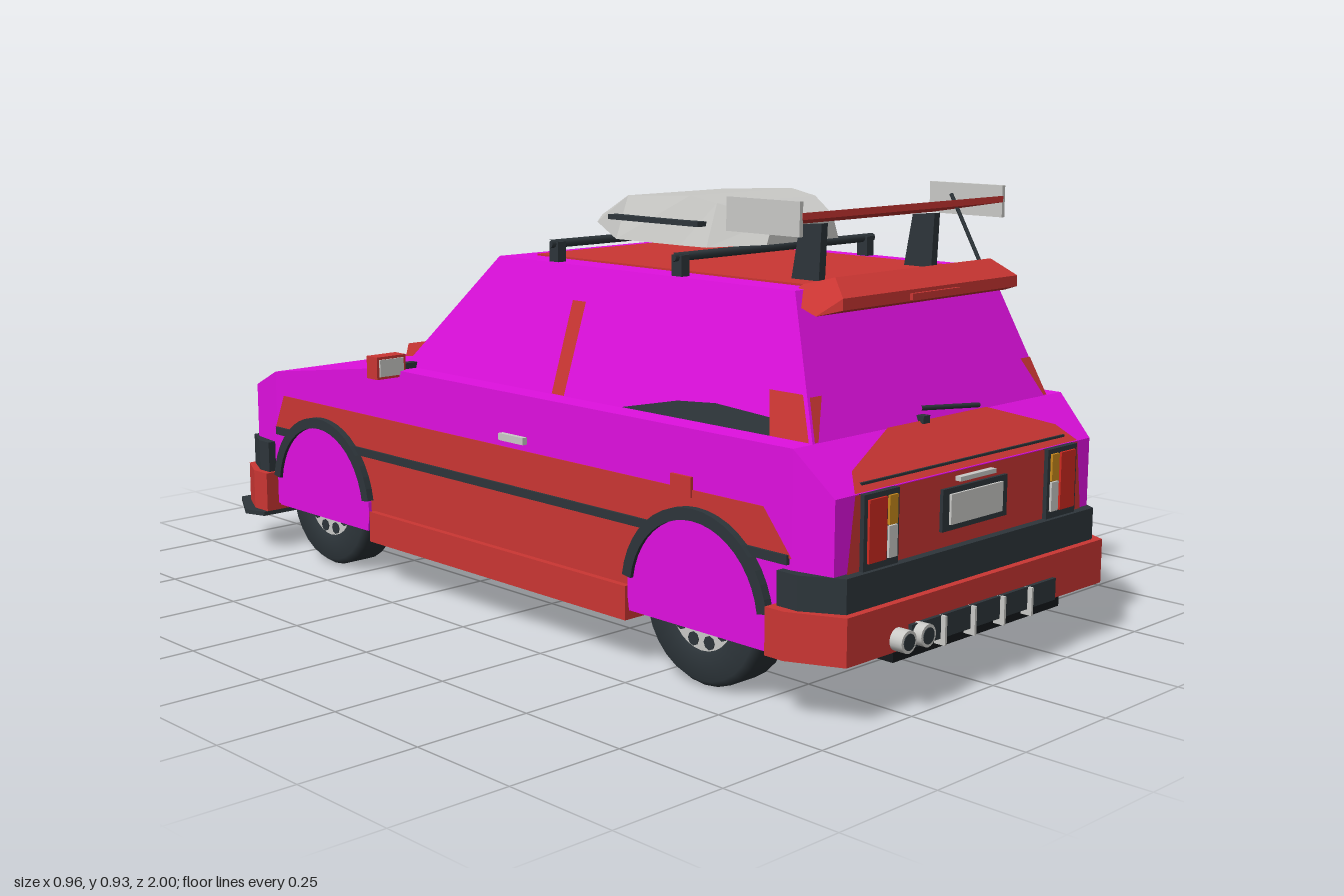
import * as THREE from 'three';

const mat = (name, color) => Object.assign(new THREE.MeshStandardMaterial({ color }), { name });
const M = {
  paint: mat('magenta paint', 0xe010e0), red: mat('red trim', 0xcb3633), dark: mat('dark plastic', 0x2d353a),
  black: mat('black underside', 0x14181b), grey: mat('light grey', 0xcacac7), amber: mat('amber lens', 0xc98a1c),
  lens: mat('red lens', 0xd02a20), steel: mat('steel', 0x8f9496),
};

export function createModel() {
  const car = new THREE.Group();
  car.name = 'hatchback';
  const add = (name, m, geo, x = 0, y = 0, z = 0) => {
    const mesh = new THREE.Mesh(geo, m);
    mesh.name = name;
    mesh.position.set(x, y, z);
    car.add(mesh);
    return mesh;
  };
  // box from minimum and maximum corners
  const box = (name, m, x0, x1, y0, y1, z0, z1) => add(name, m,
    new THREE.BoxGeometry(x1 - x0, y1 - y0, z1 - z0), (x0 + x1) / 2, (y0 + y1) / 2, (z0 + z1) / 2);
  const both = fn => [1, -1].forEach(fn);
  const boxes = (name, m, x0, x1, ...r) => both(s => box(name, m, Math.min(s * x0, s * x1), Math.max(s * x0, s * x1), ...r));
  const shape = pts => new THREE.Shape(pts.map(p => new THREE.Vector2(...p)));
  const extrude = (s, depth) => new THREE.ExtrudeGeometry(s, { depth, bevelEnabled: false, curveSegments: 10 });
  // mirrored plan outline [x, z] raised from y0 to y1
  const slab = (name, m, half, y0, y1) => {
    const plan = [...half, ...half.map(([x, z]) => [-x, z]).reverse()];
    return add(name, m, extrude(shape(plan.map(([x, z]) => [x, -z])), y1 - y0).rotateX(-Math.PI / 2), 0, y0, 0);
  };
  // side plates, shape drawn in (-z, y), on both flanks
  const flank = (name, m, s, x, t) => both(k =>
    add(name, m, extrude(s, t).rotateY(Math.PI / 2), k > 0 ? x : -x - t, 0, 0));
  const side = (name, m, pts, x, t) => flank(name, m, shape(pts.map(([z, y]) => [-z, y])), x, t);
  // solid through sections running from +z to -z, each counter-clockwise seen from +z
  const loft = (name, m, secs) => {
    const v = [], n = secs[0].length;
    const tri = (...p) => p.forEach(q => v.push(...q));
    for (let i = 0; i + 1 < secs.length; i++) for (let j = 0; j < n; j++) {
      const k = (j + 1) % n, a = secs[i], b = secs[i + 1];
      tri(a[j], b[j], b[k]);
      tri(a[j], b[k], a[k]);
    }
    const a = secs[0], b = secs[secs.length - 1];
    for (let j = 1; j + 1 < n; j++) { tri(a[0], a[j], a[j + 1]); tri(b[0], b[j + 1], b[j]); }
    const g = new THREE.BufferGeometry();
    g.setAttribute('position', new THREE.Float32BufferAttribute(v, 3));
    g.computeVertexNormals();
    return add(name, m, g);
  };
  // thin convex panel laid just outside a face
  const panel = (name, m, pts, lift = 0.004) => {
    let p = pts.map(q => new THREE.Vector3(...q));
    const normal = () => p[1].clone().sub(p[0]).cross(p[2].clone().sub(p[0])).normalize();
    if (normal().dot(p[0].clone().sub(new THREE.Vector3(0, 0.3, 0))) < 0) p.reverse();
    const n = normal();
    p.forEach(q => q.addScaledVector(n, lift));
    const idx = [];
    for (let i = 1; i + 1 < p.length; i++) idx.push(0, i, i + 1);
    const g = new THREE.BufferGeometry().setFromPoints(p);
    g.setIndex(idx);
    g.computeVertexNormals();
    return add(name, m, g);
  };
  const rod = (name, m, a, b, r) => {
    const p = new THREE.Vector3(...a), q = new THREE.Vector3(...b);
    return add(name, m, new THREE.TubeGeometry(new THREE.LineCurve3(p, q), 1, r, 8));
  };
  const disc = (name, m, r, t, x, y, z) => add(name, m, new THREE.CylinderGeometry(r, r, t, 20).rotateX(Math.PI / 2), x, y, z);

  // lower body and cabin
  const rect = (z, w0, w1, y0, y1) => [[-w0, y0, z], [w0, y0, z], [w1, y1, z], [-w1, y1, z]];
  loft('body', M.paint, [[0.935, 0.4, 0.42], [0.85, 0.418, 0.502], [-0.37, 0.418, 0.502], [-0.815, 0.418, 0.44], [-0.918, 0.405, 0.395]]
    .map(([z, w, y]) => rect(z, w, w, 0.115, y)));
  const cabX = y => 0.365 - (y - 0.5) * 0.244, cabRear = y => 0.85 - (y - 0.5) * 0.395, cabFront = y => -0.37 + (y - 0.5) * 0.996;
  const cab = f => [[-0.365, 0.5, f(0.5)], [0.365, 0.5, f(0.5)], [0.3, 0.766, f(0.766)], [-0.3, 0.766, f(0.766)]];
  loft('cabin', M.paint, [cab(cabRear), cab(cabFront)]);
  box('floor', M.black, -0.36, 0.36, 0.1, 0.114, -0.9, 0.92);

  // flanks: red band, sill, rubbing strip, handles
  side('redBand', M.red, [[0.78, 0.385], [0.85, 0.3], [-0.82, 0.3], [-0.78, 0.385]], 0.416, 0.004);
  side('redDoor', M.red, [[0.61, 0.3], [0.61, 0.118], [-0.61, 0.118], [-0.61, 0.3]], 0.416, 0.004);
  boxes('sill', M.red, 0.37, 0.434, 0.095, 0.165, -0.42, 0.43);
  boxes('rubbingStrip', M.dark, 0.415, 0.426, 0.288, 0.306, -0.81, 0.845);
  boxes('doorHandle', M.grey, 0.415, 0.43, 0.4, 0.415, 0.04, 0.118);
  box('fuelFlap', M.red, -0.424, -0.415, 0.37, 0.41, 0.545, 0.6);

  // wheels, filled arches and arch trims
  const tyre = [[0.08, 0], [0.14, 0], [0.155, 0.018], [0.155, 0.085], [0.142, 0.102], [0.09, 0.102], [0.08, 0.09]]
    .map(p => new THREE.Vector2(...p));
  for (const z of [0.615, -0.615]) {
    const fill = new THREE.Shape();
    fill.absarc(-z, 0.16, 0.185, -0.24, Math.PI + 0.24, false);
    flank('archPanel', M.paint, fill, 0.419, 0.009);
    const ring = new THREE.Shape();
    ring.absarc(-z, 0.16, 0.194, 0.15, Math.PI - 0.15, false);
    ring.absarc(-z, 0.16, 0.17, Math.PI - 0.15, 0.15, true);
    flank('archTrim', M.dark, ring, 0.412, 0.024);
    both(s => {
      const wheel = new THREE.Group();
      wheel.name = 'wheel';
      const part = (name, m, g) => {
        const mesh = new THREE.Mesh(g, m);
        mesh.name = name;
        wheel.add(mesh);
        return mesh;
      };
      part('tyre', M.dark, new THREE.LatheGeometry(tyre, 28));
      part('rim', M.grey, new THREE.CylinderGeometry(0.092, 0.092, 0.09, 24)).position.y = 0.05;
      for (let i = 0; i < 10; i++) {
        const a = (i + 0.5) * Math.PI / 5;
        part('rimSlot', M.dark, new THREE.CylinderGeometry(0.014, 0.014, 0.006, 8))
          .position.set(Math.cos(a) * 0.068, 0.094, Math.sin(a) * 0.068);
      }
      wheel.rotation.z = -s * Math.PI / 2;
      wheel.position.set(s * 0.312, 0.155, z);
      car.add(wheel);
    });
  }

  // cabin details: pillars, quarter vents, red rear corners, windscreen line
  both(s => {
    const on = pts => pts.map(([z, y]) => [s * cabX(y), y, z]);
    panel('doorPillar', M.red, on([[0.195, 0.695], [0.155, 0.695], [0.14, 0.503], [0.178, 0.503]]));
    panel('quarterVent', M.dark, on([[0.75, 0.503], [0.75, 0.535], [0.6, 0.543], [0.5, 0.535], [0.35, 0.503]]));
    panel('rearQuarter', M.red, on([[0.812, 0.585], [0.73, 0.585], [0.75, 0.503], [0.845, 0.503]]), 0.006);
    panel('rearCorner', M.red, [[0.343, 0.58], [0.31, 0.58], [0.352, 0.503], [0.362, 0.503]].map(([x, y]) => [s * x, y, cabRear(y)]));
    // mirrors
    box('mirrorArm', M.dark, s > 0 ? 0.36 : -0.42, s > 0 ? 0.42 : -0.36, 0.5, 0.515, -0.345, -0.325);
  });
  boxes('mirror', M.red, 0.4, 0.478, 0.488, 0.538, -0.355, -0.317);
  boxes('mirrorGlass', M.grey, 0.408, 0.472, 0.494, 0.532, -0.318, -0.313);
  panel('windscreenLine', M.red, [[-0.23, 0.745], [0.23, 0.745], [0.23, 0.735], [-0.23, 0.735]].map(([x, y]) => [x, y, cabFront(y)]));
  box('roofPanel', M.red, -0.235, 0.235, 0.764, 0.77, -0.055, 0.72);

  // roof bars and box
  for (const z of [0.065, 0.43]) {
    rod('roofBar', M.dark, [-0.305, 0.804, z], [0.305, 0.804, z], 0.009);
    boxes('barFoot', M.dark, 0.272, 0.294, 0.764, 0.808, z - 0.014, z + 0.014);
  }
  loft('roofBox', M.grey, [[0.5, 0.11, 0.09, 0.82, 0.87], [0.4, 0.18, 0.15, 0.812, 0.9], [0.33, 0.185, 0.155, 0.812, 0.912],
    [0.14, 0.185, 0.15, 0.812, 0.902], [0, 0.11, 0.095, 0.835, 0.85]].map(([z, ...r]) => rect(z, ...r)));
  boxes('boxStrip', M.dark, 0.165, 0.19, 0.853, 0.863, 0.12, 0.385);

  // tailgate lip, wing, struts and aerial
  loft('roofLip', M.red, [rect(0.835, 0.27, 0.27, 0.735, 0.757), rect(0.79, 0.293, 0.24, 0.722, 0.79), rect(0.72, 0.3, 0.25, 0.75, 0.772)]);
  box('lipCentre', M.red, -0.075, 0.075, 0.738, 0.75, 0.82, 0.842);
  loft('wing', M.red, [rect(0.768, 0.308, 0.308, 0.898, 0.911), rect(0.59, 0.308, 0.308, 0.868, 0.88)]);
  boxes('wingEndPlate', M.grey, 0.306, 0.315, 0.867, 0.932, 0.583, 0.767);
  both(s => side('wingStrut', M.dark, [[0.705, 0.88], [0.65, 0.875], [0.63, 0.766], [0.7, 0.766]], s > 0 ? 0.164 : 0.17, 0.012));
  rod('aerial', M.dark, [0.237, 0.775, 0.77], [0.237, 0.915, 0.69], 0.004);

  // bonnet: scoop, red patches, wipers
  const hood = z => 0.502 + (z + 0.37) * 0.1393;
  loft('bonnetScoop', M.red, [rect(-0.515, 0.127, 0.11, 0.47, 0.518), rect(-0.735, 0.09, 0.078, 0.44, 0.482)]);
  panel('scoopMouth', M.dark, [[-0.075, 0.455, -0.735], [0.075, 0.455, -0.735], [0.068, 0.476, -0.735], [-0.068, 0.476, -0.735]]);
  panel('bonnetPatch', M.red, [[-0.15, -0.71], [0.15, -0.71], [0.15, -0.615], [-0.15, -0.615]].map(([x, z]) => [x, hood(z), z]));
  panel('nosePatch', M.red, [[-0.31, 0.395, -0.918], [0.31, 0.395, -0.918], [0.19, 0.44, -0.815], [-0.19, 0.44, -0.815]]);
  rod('frontWiper', M.dark, [-0.2, 0.508, -0.405], [0.11, 0.512, -0.415], 0.006);
  rod('rearWiper', M.dark, [-0.05, 0.528, 0.847], [0.13, 0.512, 0.852], 0.005);
  box('wiperPivot', M.dark, -0.058, -0.038, 0.5, 0.515, 0.835, 0.862);

  // tail: red panel, lamps, number plate
  panel('tailPanel', M.red, [[-0.37, 0.27], [0.37, 0.27], [0.35, 0.42], [-0.35, 0.42]].map(([x, y]) => [x, y, 0.935]));
  panel('tailUpper', M.red, [[-0.35, 0.42, 0.935], [0.35, 0.42, 0.935], [0.32, 0.452, 0.902], [0.155, 0.502, 0.85], [-0.155, 0.502, 0.85], [-0.32, 0.452, 0.902]]);
  box('tailSeam', M.dark, -0.32, 0.32, 0.43, 0.437, 0.915, 0.928);
  boxes('tailLampFrame', M.dark, 0.235, 0.335, 0.275, 0.42, 0.93, 0.948);
  boxes('tailLamp', M.lens, 0.275, 0.325, 0.292, 0.41, 0.945, 0.953);
  boxes('tailIndicator', M.amber, 0.244, 0.268, 0.355, 0.41, 0.945, 0.953);
  boxes('reverseLamp', M.grey, 0.244, 0.268, 0.293, 0.353, 0.945, 0.953);
  box('plateFrame', M.dark, -0.102, 0.102, 0.31, 0.392, 0.93, 0.946);
  box('rearPlate', M.grey, -0.082, 0.082, 0.322, 0.381, 0.943, 0.951);
  box('plateLamp', M.grey, -0.056, 0.056, 0.402, 0.411, 0.93, 0.952);

  // rear bumper, diffuser and exhausts
  slab('rearBumperTop', M.dark, [[0.37, 0.83], [0.435, 0.83], [0.435, 0.88], [0.39, 0.957]], 0.21, 0.278);
  slab('rearBumper', M.red, [[0.37, 0.82], [0.455, 0.82], [0.455, 0.865], [0.405, 0.972]], 0.12, 0.212);
  box('diffuser', M.dark, -0.23, 0.23, 0.12, 0.165, 0.96, 0.98);
  box('lowerDiffuser', M.black, -0.265, 0.265, 0.097, 0.121, 0.86, 0.965);
  for (const x of [-0.14, -0.048, 0.046, 0.137]) box('diffuserFin', M.grey, x - 0.003, x + 0.003, 0.108, 0.165, 0.965, 0.99);
  for (const x of [-0.263, -0.206]) {
    disc('exhaust', M.grey, 0.022, 0.06, x, 0.144, 0.97);
    disc('exhaustBore', M.dark, 0.016, 0.004, x, 0.144, 0.9995);
  }

  // nose: grille, headlamps, bumper, splitter
  box('grillePanel', M.dark, -0.35, 0.35, 0.26, 0.388, -0.926, -0.91);
  box('grilleFrame', M.grey, -0.175, 0.175, 0.28, 0.37, -0.932, -0.92);
  box('grilleBack', M.dark, -0.168, 0.168, 0.287, 0.363, -0.936, -0.925);
  for (let i = 0; i < 4; i++) box('grilleBar', M.steel, -0.168, 0.168, 0.298 + i * 0.016, 0.304 + i * 0.016, -0.941, -0.93);
  box('grilleBadge', M.grey, -0.02, 0.02, 0.315, 0.337, -0.944, -0.93);
  both(s => {
    disc('headlampRing', M.steel, 0.06, 0.03, s * 0.24, 0.325, -0.925);
    disc('headlamp', M.grey, 0.052, 0.03, s * 0.24, 0.325, -0.932);
  });
  slab('frontBumperTop', M.dark, [[0.37, -0.83], [0.435, -0.83], [0.435, -0.87], [0.4, -0.947]], 0.19, 0.265);
  boxes('frontIndicator', M.amber, 0.275, 0.355, 0.215, 0.245, -0.952, -0.94);
  box('frontPlate', M.grey, -0.085, 0.085, 0.19, 0.24, -0.957, -0.94);
  slab('frontBumper', M.red, [[0.37, -0.82], [0.45, -0.82], [0.45, -0.875], [0.41, -0.958]], 0.098, 0.192);
  box('airIntake', M.dark, -0.24, 0.24, 0.125, 0.165, -0.963, -0.95);
  slab('splitter', M.dark, [[0.46, -0.82], [0.478, -0.875], [0.41, -1]], 0.088, 0.098);
  return car;
}
